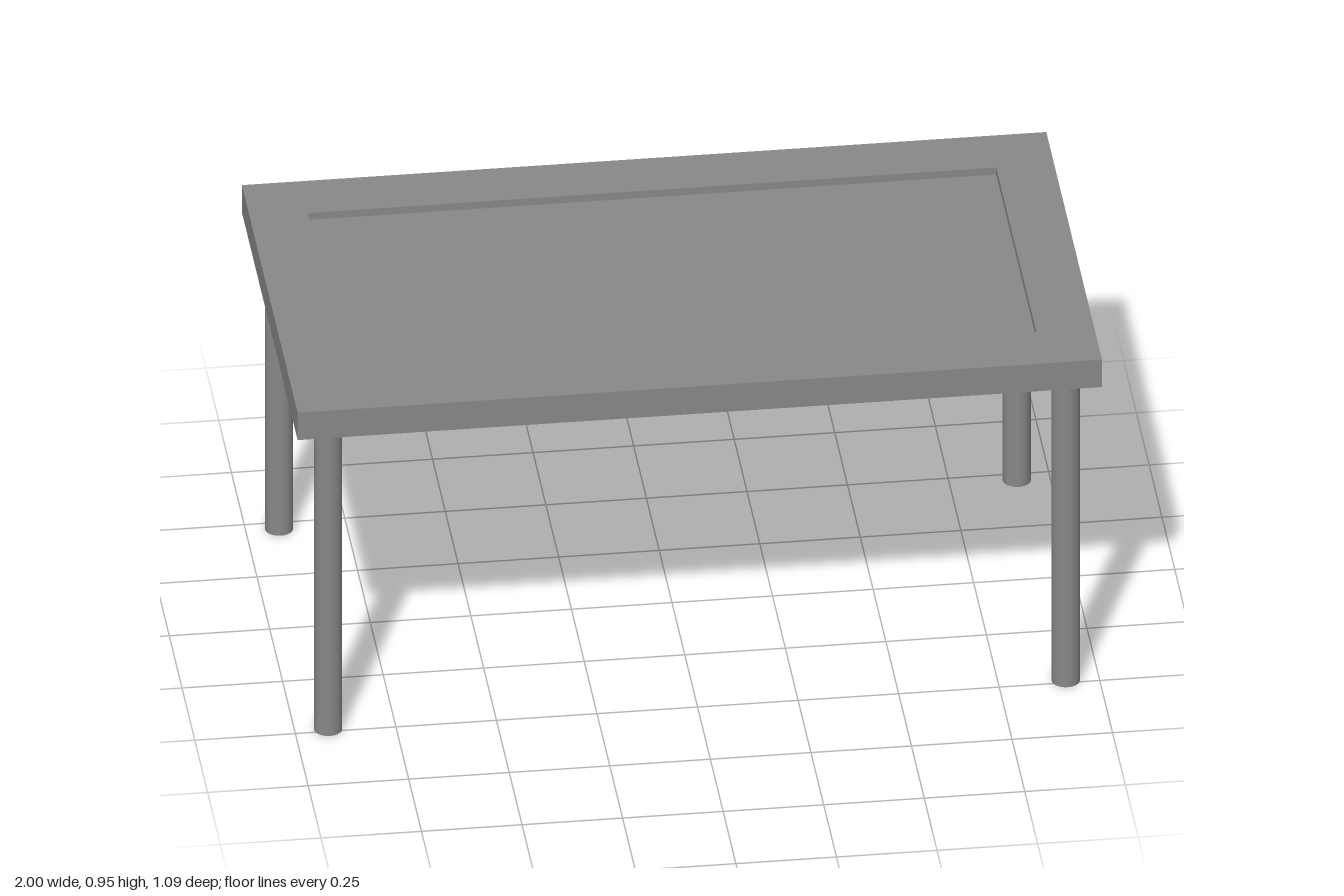
import * as THREE from 'three';

const material = new THREE.MeshStandardMaterial({ color: 0x888888 });

const WIDTH = 2, DEPTH = 1.09;
const UNDERSIDE = 0.874, TOP = 0.953, RECESS = 0.02;
const LEG_RADIUS = 0.035;

function addMesh(parent, name, geometry, x, y, z) {
  const mesh = new THREE.Mesh(geometry, material);
  mesh.name = name;
  mesh.position.set(x, y, z);
  parent.add(mesh);
}

// Closed rectangle centred on the origin
function rectangle(PathType, width, depth) {
  const x = width / 2, y = depth / 2;
  return new PathType([[-x, -y], [x, -y], [x, y], [-x, y]].map(([a, b]) => new THREE.Vector2(a, b)));
}

export function createModel() {
  const table = new THREE.Group();
  table.name = 'table';

  // Slab whose upper face is the floor of the recess
  const floor = TOP - RECESS;
  const thickness = floor - UNDERSIDE;
  addMesh(table, 'tabletop', new THREE.BoxGeometry(WIDTH, thickness, DEPTH), 0, UNDERSIDE + thickness / 2, 0);

  // Raised border around the recess
  const border = rectangle(THREE.Shape, WIDTH, DEPTH);
  border.holes.push(rectangle(THREE.Path, 1.712, 0.786));
  const rim = new THREE.ExtrudeGeometry(border, { depth: RECESS, bevelEnabled: false });
  rim.rotateX(-Math.PI / 2);
  addMesh(table, 'tabletopRim', rim, 0, floor, 0);

  // Four round legs, the front pair slightly nearer the edge
  const leg = new THREE.CylinderGeometry(LEG_RADIUS, LEG_RADIUS, UNDERSIDE, 32);
  for (const [end, z] of [['front', 0.487], ['back', -0.472]]) {
    for (const [side, x] of [['Left', 0.917], ['Right', -0.917]]) {
      addMesh(table, `${end}${side}Leg`, leg, x, UNDERSIDE / 2, z);
    }
  }

  return table;
}
